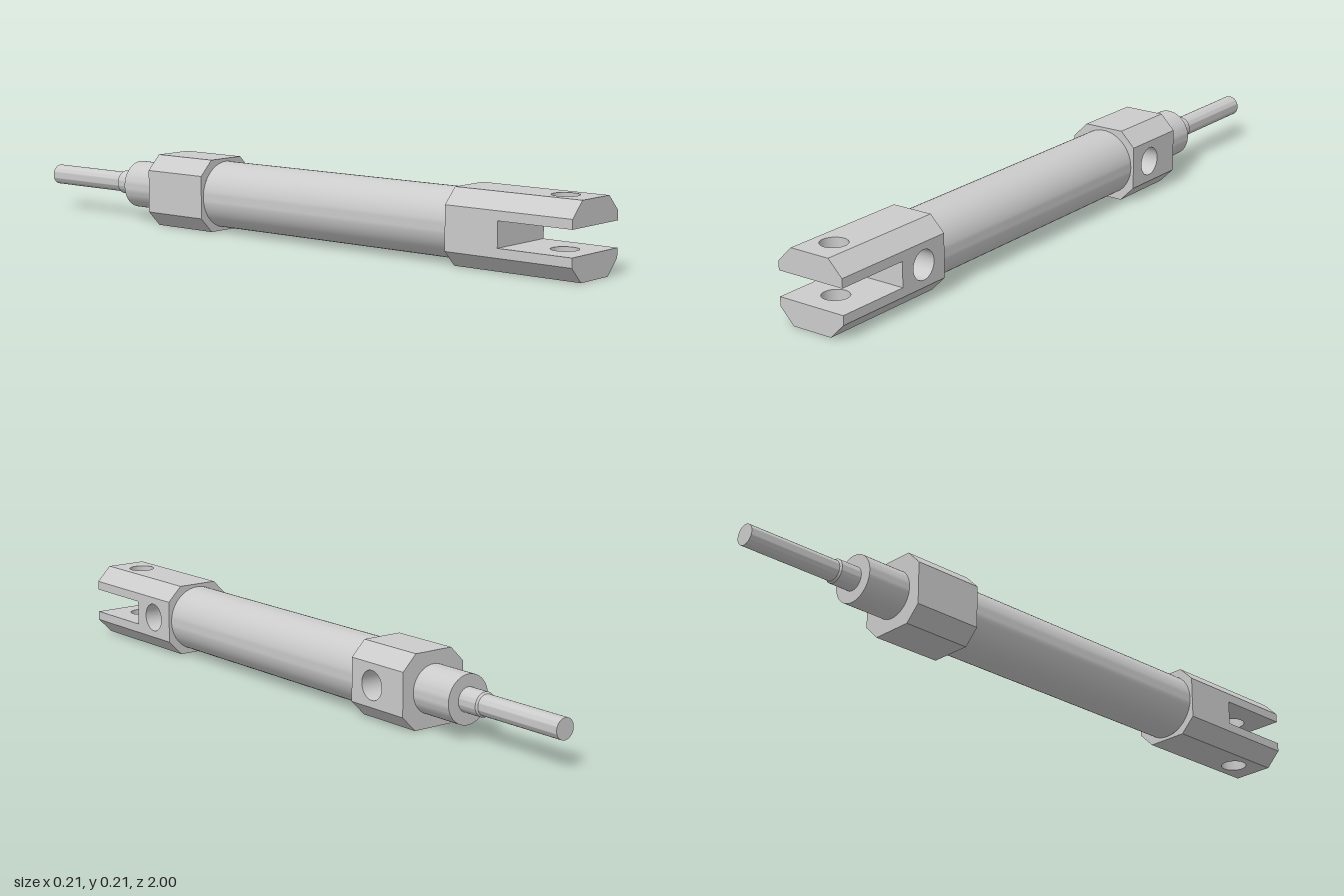
import * as THREE from 'three';
import { toCreasedNormals } from 'three/addons/utils/BufferGeometryUtils.js';

const H = 0.1065;      // half width of the octagonal blocks
const F = 0.0625;      // half width of their flats
const SLOT = 0.036;    // half height of the clevis slot
const SLOT_Z = 0.77;   // floor of the slot
const PIN_Z = 0.908, PIN_R = 0.038;
const PORT_R = 0.042;
const TUBE_R = 0.0975, COLLAR_R = 0.07;

const solid = new THREE.MeshStandardMaterial({ color: 0xcccccc });
const sheet = new THREE.MeshStandardMaterial({ color: 0xcccccc, side: THREE.DoubleSide });
const Z = new THREE.Vector3(0, 0, 1);
const X = new THREE.Vector3(1, 0, 0);

function add(group, name, geometry, material = sheet) {
  const mesh = new THREE.Mesh(geometry, material);
  mesh.name = name;
  group.add(mesh);
  return mesh;
}

// Outline from [u, v] points, with round holes given as [u, v, radius]
function outline(points, holes = []) {
  const shape = new THREE.Shape(points.map(p => new THREE.Vector2(...p)));
  for (const [u, v, r] of holes) shape.holes.push(new THREE.Path().absarc(u, v, r, 0, Math.PI * 2, true));
  return shape;
}

const rect = (u0, u1, h, holes) => outline([[u0, -h], [u1, -h], [u1, h], [u0, h]], holes);

const octagon = (hole) => outline(
  [[F, -H], [H, -F], [H, F], [F, H], [-F, H], [-H, F], [-H, -F], [-F, -H]], [[0, 0, hole]]);

// Flat panel facing n, at distance d along n, with u as its first axis
function panel(group, name, shape, n, d, u = Z) {
  const normal = new THREE.Vector3(...n).normalize();
  const v = new THREE.Vector3().crossVectors(normal, u);
  const geometry = new THREE.ShapeGeometry(shape, 24);
  geometry.applyMatrix4(new THREE.Matrix4().makeBasis(u, v, normal).setPosition(normal.multiplyScalar(d)));
  add(group, name, geometry);
}

// Four chamfers and the top and bottom of an octagonal block
function blockShell(group, z0, z1, topHoles = []) {
  for (const sy of [1, -1]) {
    panel(group, 'flat', rect(z0, z1, F, topHoles), [0, sy, 0], H);
    for (const sx of [1, -1]) {
      panel(group, 'chamfer', rect(z0, z1, (H - F) / Math.SQRT2), [sx, sy, 0], (H + F) / Math.SQRT2);
    }
  }
}

// Blind port drilled into the +x flat
function port(group, z, floorX) {
  const wall = new THREE.CylinderGeometry(PORT_R, PORT_R, H - floorX, 48, 1, true);
  wall.rotateZ(Math.PI / 2).translate((H + floorX) / 2, 0, z);
  add(group, 'portWall', wall);
  const floor = new THREE.CircleGeometry(PORT_R, 48);
  add(group, 'portFloor', floor.rotateY(Math.PI / 2).translate(floorX, 0, z));
}

// Solid of revolution along z, from [radius, z] points running towards -z
function turned(group, name, profile) {
  const lathe = new THREE.LatheGeometry(profile.map(([r, z]) => new THREE.Vector2(r, -z)), 64);
  return add(group, name, toCreasedNormals(lathe.rotateX(-Math.PI / 2), 0.5), solid);
}

function clevis() {
  const group = new THREE.Group();
  group.name = 'clevis';
  const z0 = 0.6, z1 = 1, portZ = 0.685;
  blockShell(group, z0, z1, [[PIN_Z, 0, PIN_R]]);
  // Side flats notched by the slot
  const notched = [[z0, -F], [z1, -F], [z1, -SLOT], [SLOT_Z, -SLOT], [SLOT_Z, SLOT], [z1, SLOT], [z1, F], [z0, F]];
  panel(group, 'side', outline(notched, [[portZ, 0, PORT_R]]), [1, 0, 0], H);
  panel(group, 'side', outline(notched), [-1, 0, 0], H);
  port(group, portZ, 0.03);
  // Slot and tine ends
  panel(group, 'slotFloor', rect(-H, H, SLOT), [0, 0, 1], SLOT_Z, X);
  for (const s of [1, -1]) {
    panel(group, 'slotWall', rect(SLOT_Z, z1, H, [[PIN_Z, 0, PIN_R]]), [0, -s, 0], -SLOT);
    const end = [[-H, SLOT], [H, SLOT], [H, F], [F, H], [-F, H], [-H, F]].map(([x, y]) => [x, s * y]);
    panel(group, 'tineEnd', outline(end), [0, 0, 1], z1, X);
    const hole = new THREE.CylinderGeometry(PIN_R, PIN_R, H - SLOT, 48, 1, true);
    add(group, 'pinHole', hole.translate(0, s * (H + SLOT) / 2, PIN_Z));
  }
  panel(group, 'shoulder', octagon(TUBE_R), [0, 0, -1], -z0, X);
  return group;
}

function rodEndBlock() {
  const group = new THREE.Group();
  group.name = 'rodEndBlock';
  const z0 = -0.5, z1 = -0.285, portZ = -0.37;
  blockShell(group, z0, z1);
  panel(group, 'side', rect(z0, z1, F, [[portZ, 0, PORT_R]]), [1, 0, 0], H);
  panel(group, 'side', rect(z0, z1, F), [-1, 0, 0], H);
  port(group, portZ, 0);
  panel(group, 'shoulder', octagon(TUBE_R), [0, 0, 1], z1, X);
  panel(group, 'shoulder', octagon(COLLAR_R), [0, 0, -1], -z0, X);
  return group;
}

export function createModel() {
  const model = new THREE.Group();
  model.name = 'hydraulicCylinder';
  model.add(clevis(), rodEndBlock());
  turned(model, 'tube', [[TUBE_R, 0.6], [TUBE_R, -0.285]]);
  turned(model, 'collar', [[COLLAR_R, -0.5], [COLLAR_R, -0.64], [0.035, -0.64]]);
  // Rod runs behind the port, then steps down to a thinner end
  turned(model, 'rod', [[0.035, -0.32], [0.035, -0.705], [0.03, -0.71], [0.03, -1], [0, -1]]);
  model.position.y = H;
  return model;
}
